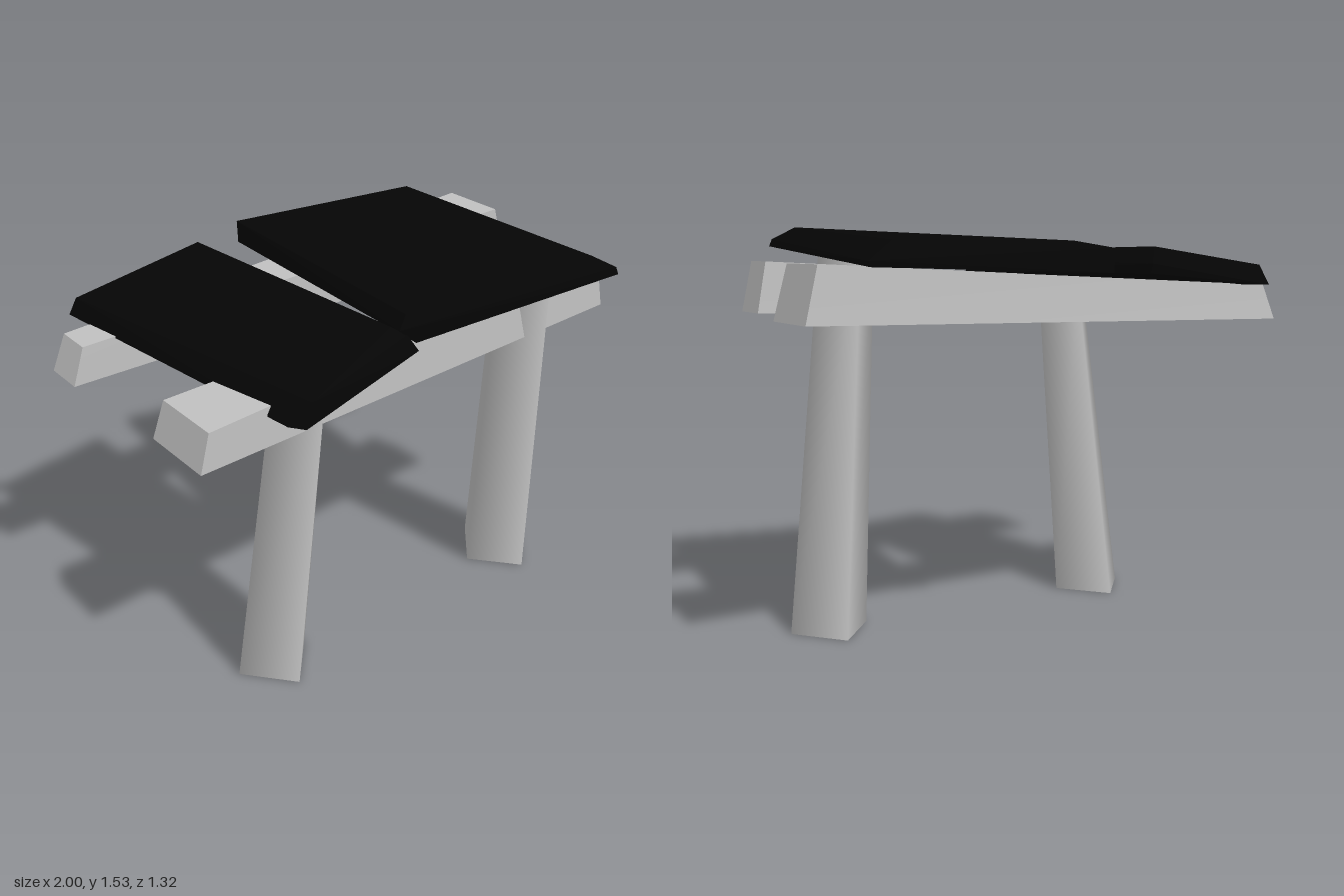
import * as THREE from 'three';
import { ConvexGeometry } from 'three/addons/geometries/ConvexGeometry.js';

export function createModel() {
  const group = new THREE.Group();
  const stone = new THREE.MeshStandardMaterial({ color: 0xc0c0c0, side: THREE.DoubleSide });
  stone.name = 'pale grey';
  const dark = new THREE.MeshStandardMaterial({ color: 0x050505 });
  dark.name = 'black';

  const add = (name, geometry, material) => {
    const mesh = new THREE.Mesh(geometry, material);
    mesh.name = name;
    group.add(mesh);
  };

  // Leaning open tube: four-sided, smooth, each end given as [x, y, z, half width, half depth]
  const leg = (bottom, top) => {
    const geometry = new THREE.CylinderGeometry(1, 1, 1, 4, 1, true);
    const pos = geometry.attributes.position;
    for (let i = 0; i < pos.count; i++) {
      const end = pos.getY(i) > 0 ? top : bottom;
      pos.setXYZ(i, end[0] + pos.getX(i) * end[3], end[1], end[2] + pos.getZ(i) * end[4]);
    }
    return geometry;
  };
  add('rightLeg', leg([-0.525, 0, 0.165, 0.155, 0.18], [-0.535, 1.283, 0.4, 0.113, 0.137]), stone);
  add('leftLeg', leg([0.675, 0, 0.165, 0.155, 0.18], [0.473, 1.44, 0.403, 0.117, 0.137]), stone);

  // Tapered cross beam, open underneath: each end is [bottom x, top x, back z, front z, bottom y, top y]
  const beam = (right, left) => {
    const geometry = new THREE.BoxGeometry(1, 1, 1);
    const pos = geometry.attributes.position;
    for (let i = 0; i < pos.count; i++) {
      const [xb, xt, z0, z1, y0, y1] = pos.getX(i) > 0 ? left : right;
      const top = pos.getY(i) > 0;
      const z = pos.getZ(i) > 0 ? z1 - (top ? 0.005 : 0) : z0 + (top ? 0.015 : 0);
      pos.setXYZ(i, top ? xt : xb, top ? y1 : y0, z);
    }
    // Leave out the bottom face, the fourth of the six
    const index = Array.from(geometry.index.array);
    index.splice(18, 6);
    geometry.setIndex(index);
    geometry.clearGroups();
    geometry.computeVertexNormals();
    return geometry;
  };
  add('frontBeam', beam([-0.97, -0.93, 0.205, 0.49, 1.175, 1.308], [0.89, 0.85, 0.26, 0.44, 1.21, 1.4]), stone);
  add('backBeam', beam([-1, -0.95, -0.44, -0.28, 1.17, 1.305], [1, 0.95, -0.505, -0.215, 1.21, 1.4]), stone);

  // Bevelled roof slabs: bottom, rim and top corners
  const slab = (points) => new ConvexGeometry(points.map((p) => new THREE.Vector3(...p)));
  add('rightSlab', slab([
    [-0.865, 1.31, -0.55], [-0.265, 1.36, -0.59], [-0.125, 1.35, 0.52], [-0.665, 1.285, 0.62], [-0.7, 1.285, 0.57],
    [-0.85, 1.385, -0.51], [-0.265, 1.395, -0.605], [-0.16, 1.41, 0.5],
    [-0.31, 1.455, -0.55], [-0.2, 1.438, 0.46], [-0.64, 1.37, 0.615],
  ]), dark);
  add('leftSlab', slab([
    [-0.06, 1.365, -0.655], [0.78, 1.39, -0.51], [0.7, 1.455, 0.655], [-0.12, 1.37, 0.5],
    [-0.058, 1.45, -0.662], [0.79, 1.41, -0.515], [0.69, 1.483, 0.65], [-0.195, 1.435, 0.5],
    [0.01, 1.475, -0.51], [0.7, 1.478, -0.505], [0.61, 1.53, 0.6], [-0.165, 1.485, 0.495],
  ]), dark);

  return group;
}
